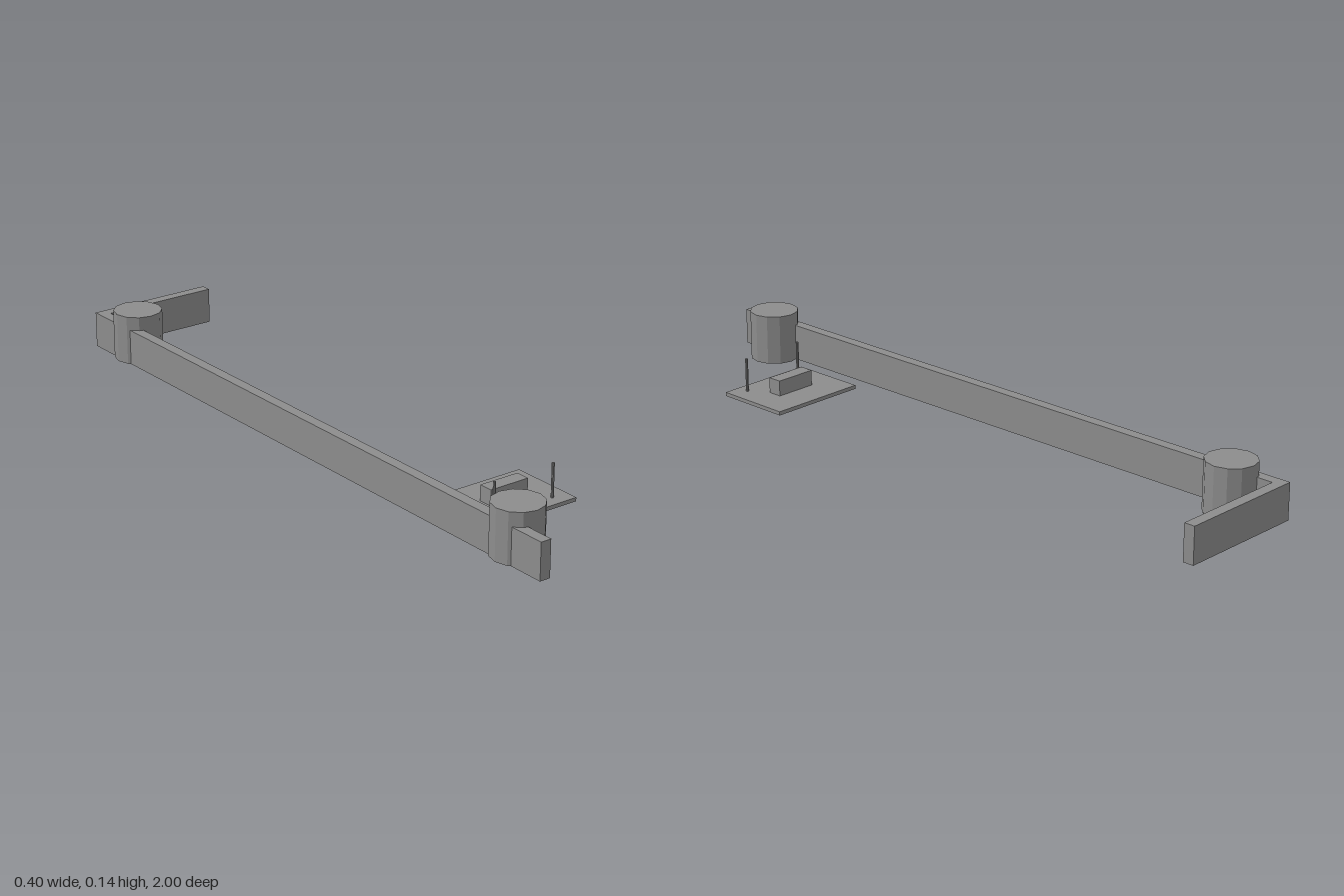
import * as THREE from 'three';

export function createModel() {
  const model = new THREE.Group();
  const grey = new THREE.MeshStandardMaterial({ color: 0x8c8c8c });
  grey.name = 'grey';
  const flatGrey = (geometry) => geometry.toNonIndexed();

  const add = (name, geometry, x, y, z) => {
    const mesh = new THREE.Mesh(geometry, grey);
    mesh.name = name;
    mesh.position.set(x, y, z);
    model.add(mesh);
  };

  // Box given by its minimum and maximum on each axis
  const box = (name, [x0, x1], [y0, y1], [z0, z1]) =>
    add(name, new THREE.BoxGeometry(x1 - x0, y1 - y0, z1 - z0),
      (x0 + x1) / 2, (y0 + y1) / 2, (z0 + z1) / 2);

  // Faceted upright column standing on y0
  const column = (name, radius, sides, y0, y1, x, z) => {
    const geometry = flatGrey(new THREE.CylinderGeometry(radius, radius, y1 - y0, sides));
    geometry.computeVertexNormals();
    add(name, geometry, x, (y0 + y1) / 2, z);
  };

  // Long side wall and the return wall at the back
  box('longWall', [-0.184, -0.152], [0, 0.105], [-1, 1]);
  box('backWall', [-0.152, 0.2], [0, 0.105], [-1, -0.968]);

  // Round towers near both ends of the long wall
  for (const [name, z] of [['frontTower', 0.85], ['backTower', -0.855]])
    column(name, 0.0715, 12, 0, 0.145, -0.1285, z);

  // Low platform with a block and two thin posts
  box('platform', [-0.096, 0.2], [0, 0.011], [0.476, 0.702]);
  box('platformBlock', [-0.011, 0.114], [0.011, 0.056], [0.568, 0.61]);
  for (const [name, x] of [['rightPost', -0.047], ['leftPost', 0.15]])
    column(name, 0.004, 8, 0.011, 0.109, x, 0.665);

  return model;
}
